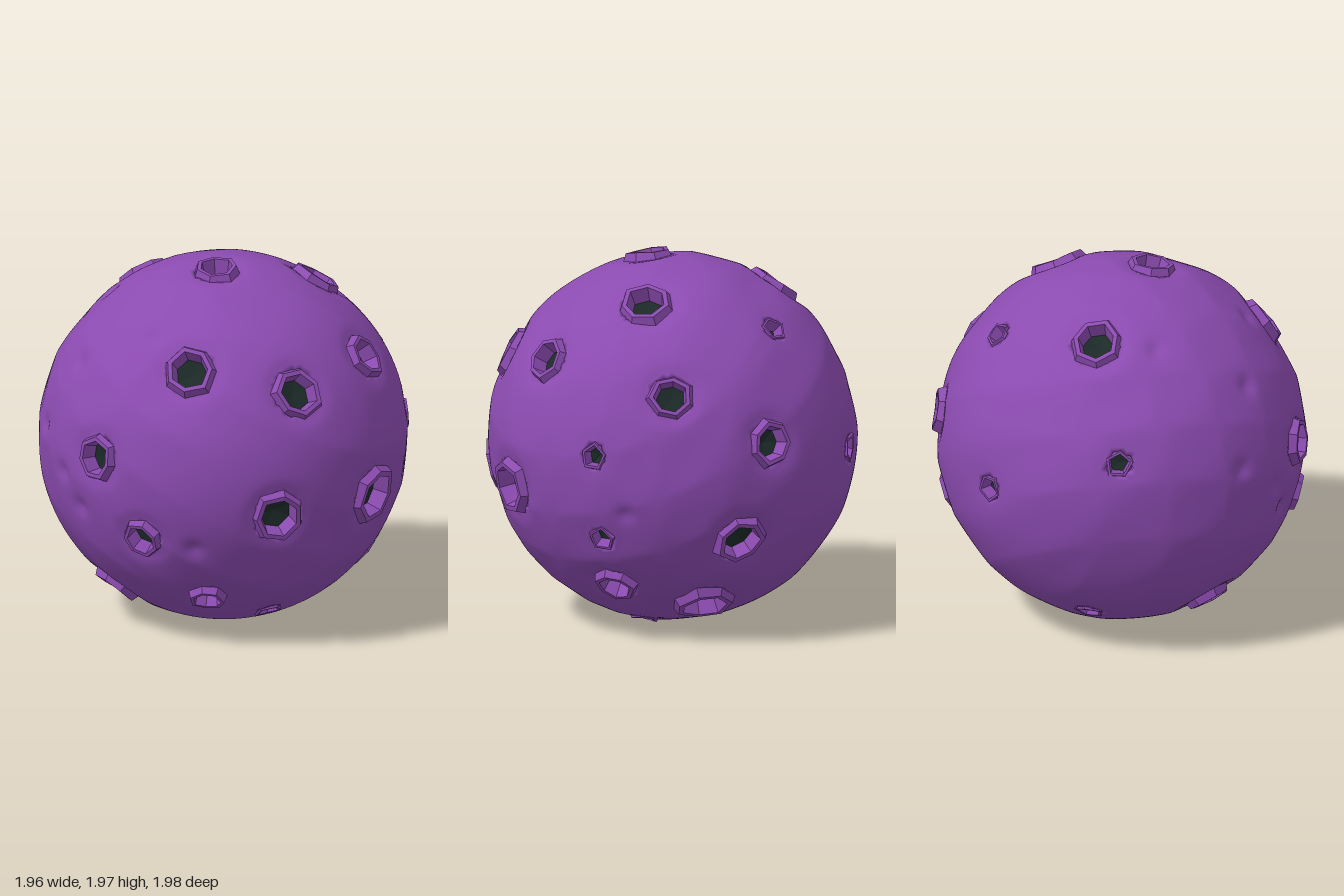
import * as THREE from 'three';
import { mergeVertices } from 'three/addons/utils/BufferGeometryUtils.js';

const R = 0.983;
const UP = new THREE.Vector3(0, 1, 0);

// craters: direction from the centre (x, y, z) and outer rim radius
const CRATERS = [
  [0.07, 0.58, 0.79, 0.135], [0.62, 0.46, 0.61, 0.135], [-0.42, 0.08, 0.88, 0.12],
  [-0.16, -0.34, 0.91, 0.105], [0.57, -0.19, 0.79, 0.14], [0.13, -0.71, 0.67, 0.095],
  [-0.47, -0.78, 0.39, 0.125], [0.95, -0.18, 0.26, 0.155], [0.36, -0.87, 0.32, 0.08],
  [0.82, 0.53, 0.08, 0.12], [0.43, 0.83, -0.27, 0.14], [0.6, 0.42, -0.66, 0.115],
  [0.9, 0.09, -0.38, 0.078], [0.83, -0.37, -0.37, 0.078], [0.66, -0.66, -0.29, 0.11],
  [0.24, -0.79, -0.52, 0.155], [0.28, -0.38, -0.86, 0.135], [0.15, 0.15, -0.96, 0.12],
  [0.02, 0.96, 0.17, 0.12], [-0.53, 0.79, -0.23, 0.135], [-0.11, 0.69, -0.69, 0.078],
  [-0.54, -0.01, -0.81, 0.08], [-0.93, 0.25, -0.18, 0.078], [0.28, -0.93, -0.09, 0.078],
  [-0.55, -0.76, -0.27, 0.078],
].map(([x, y, z, r]) => ({ dir: new THREE.Vector3(x, y, z).normalize(), r, lip: r > 0.09 ? 0.024 : 0.006 }));

// shallow dents without a hole
const DENTS = [
  [-0.62, 0.52, 0.58], [-0.82, 0.12, 0.5], [-0.66, -0.06, 0.72], [-0.56, -0.24, 0.78],
  [0.13, -0.38, 0.9], [-0.18, 0.72, 0.66], [0.8, -0.22, -0.52], [-0.6, 0.75, 0.08],
].map((a) => new THREE.Vector3(...a).normalize());

// gently uneven ground
function ground(p) {
  const a = Math.sin(5.1 * p.x + 2.3 * p.y + 1) * Math.sin(4.3 * p.y - 3.1 * p.z + 2);
  const b = Math.sin(8.7 * p.z + 4 * p.x) * Math.sin(9.3 * p.y + 5.2 * p.x + 0.6);
  return R - 0.012 * Math.max(0, a) ** 2 - 0.008 * Math.abs(b);
}

// closed ball, sunk into a pocket under each crater
function bodyGeometry() {
  let g = new THREE.IcosahedronGeometry(1, 48);
  g.deleteAttribute('uv');
  g.deleteAttribute('normal');
  g = mergeVertices(g, 1e-4);
  const pos = g.attributes.position;
  const p = new THREE.Vector3();
  for (let i = 0; i < pos.count; i++) {
    p.fromBufferAttribute(pos, i).normalize();
    let h = ground(p);
    for (const d of DENTS) h -= 0.02 * Math.exp(-((p.distanceTo(d) / 0.05) ** 2));
    for (const c of CRATERS) {
      const t = p.distanceTo(c.dir);
      h -= 0.6 * c.lip * Math.exp(-(((t - c.r) / 0.05) ** 2)); // moat round the rim
      if (t < c.r * 1.08 - 0.027) h = Math.min(h, R - 0.16);
    }
    p.multiplyScalar(h);
    pos.setXYZ(i, p.x, p.y, p.z);
  }
  g.computeVertexNormals();
  return g;
}

// make a round part slightly irregular
function wobble(g, seed) {
  const pos = g.attributes.position;
  for (let i = 0; i < pos.count; i++) {
    const x = pos.getX(i), z = pos.getZ(i), a = Math.atan2(z, x);
    const s = 1 + 0.05 * Math.sin(2 * a + seed * 1.7) + 0.03 * Math.sin(3 * a + seed);
    pos.setXYZ(i, x * s, pos.getY(i) + 0.005 * Math.sin(2 * a + seed * 2.9), z * s);
  }
  return g;
}

export function createModel() {
  const model = new THREE.Group();
  model.name = 'crateredBall';
  const purple = new THREE.MeshStandardMaterial({ color: 0x8b4bb0 });
  const purpleFlat = new THREE.MeshStandardMaterial({ color: 0x8b4bb0, flatShading: true });
  const dark = new THREE.MeshStandardMaterial({ color: 0x1c2a28, flatShading: true });

  const ball = new THREE.Group();
  ball.position.y = R;
  model.add(ball);

  const body = new THREE.Mesh(bodyGeometry(), purple);
  body.name = 'body';
  ball.add(body);

  CRATERS.forEach(({ dir, r, lip }, i) => {
    const sides = r > 0.09 ? 7 : 5;
    const crater = new THREE.Group();
    crater.name = 'crater';
    crater.position.copy(dir).multiplyScalar(ground(dir) - r * r / 2);
    crater.quaternion.setFromUnitVectors(UP, dir);

    // raised lip and sloping inner wall
    const profile = [[1.16, -0.04], [0.95, lip], [0.76, lip], [0.64, -0.06]]
      .map(([k, y]) => new THREE.Vector2(k * r, y));
    const rim = new THREE.Mesh(wobble(new THREE.LatheGeometry(profile, sides), i), purpleFlat);
    rim.name = 'craterRim';

    // dark floor
    const disc = [new THREE.Vector2(0.65 * r, -0.06), new THREE.Vector2(0, -0.075)];
    const floor = new THREE.Mesh(wobble(new THREE.LatheGeometry(disc, sides), i), dark);
    floor.name = 'craterFloor';

    crater.add(rim, floor);
    ball.add(crater);
  });
  return model;
}
